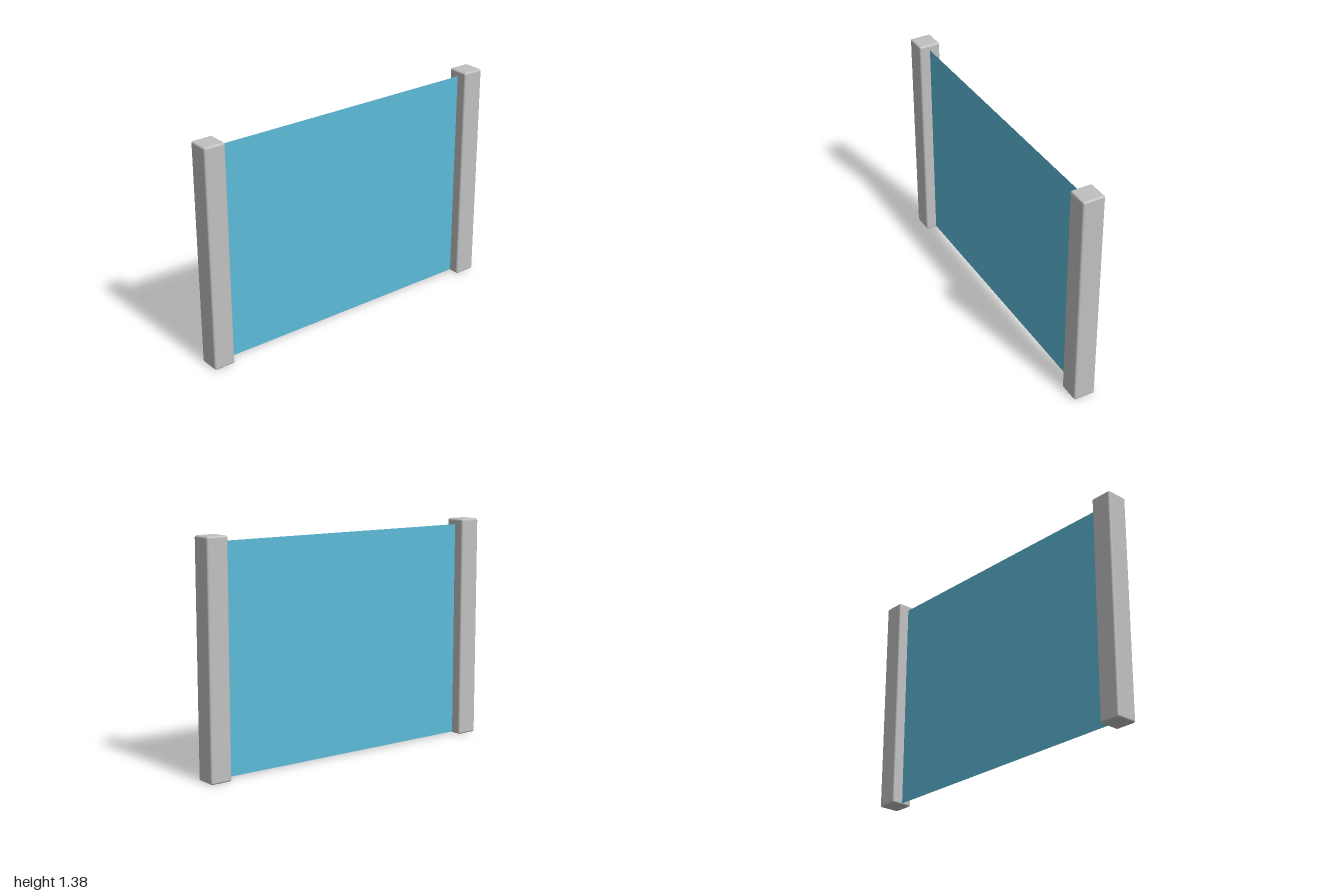
import * as THREE from 'three';
import { RoundedBoxGeometry } from 'three/addons/geometries/RoundedBoxGeometry.js';

const POST = { width: 0.134, height: 1.375, bevel: 0.012 };
const PANEL = { bottom: 0.007, top: 1.34 };

export function createModel() {
  const model = new THREE.Group();
  model.name = 'panelBarrier';

  const postGrey = new THREE.MeshStandardMaterial({ color: 0xc0c0c0 });
  postGrey.name = 'postGrey';
  const panelBlue = new THREE.MeshStandardMaterial({ color: 0x5dbbd8, side: THREE.DoubleSide });
  panelBlue.name = 'panelBlue';

  // Two square posts with softened edges
  const postGeometry = new RoundedBoxGeometry(POST.width, POST.height, POST.width, 2, POST.bevel);
  for (const [name, side] of [['leftPost', 1], ['rightPost', -1]]) {
    const post = new THREE.Mesh(postGeometry, postGrey);
    post.name = name;
    post.position.set(side * (1 - POST.width / 2), POST.height / 2, 0);
    model.add(post);
  }

  // Thin sheet stretched between the inner faces of the posts
  const span = 2 * (1 - POST.width);
  const panel = new THREE.Mesh(new THREE.PlaneGeometry(span, PANEL.top - PANEL.bottom), panelBlue);
  panel.name = 'panel';
  panel.position.y = (PANEL.top + PANEL.bottom) / 2;
  model.add(panel);

  return model;
}
